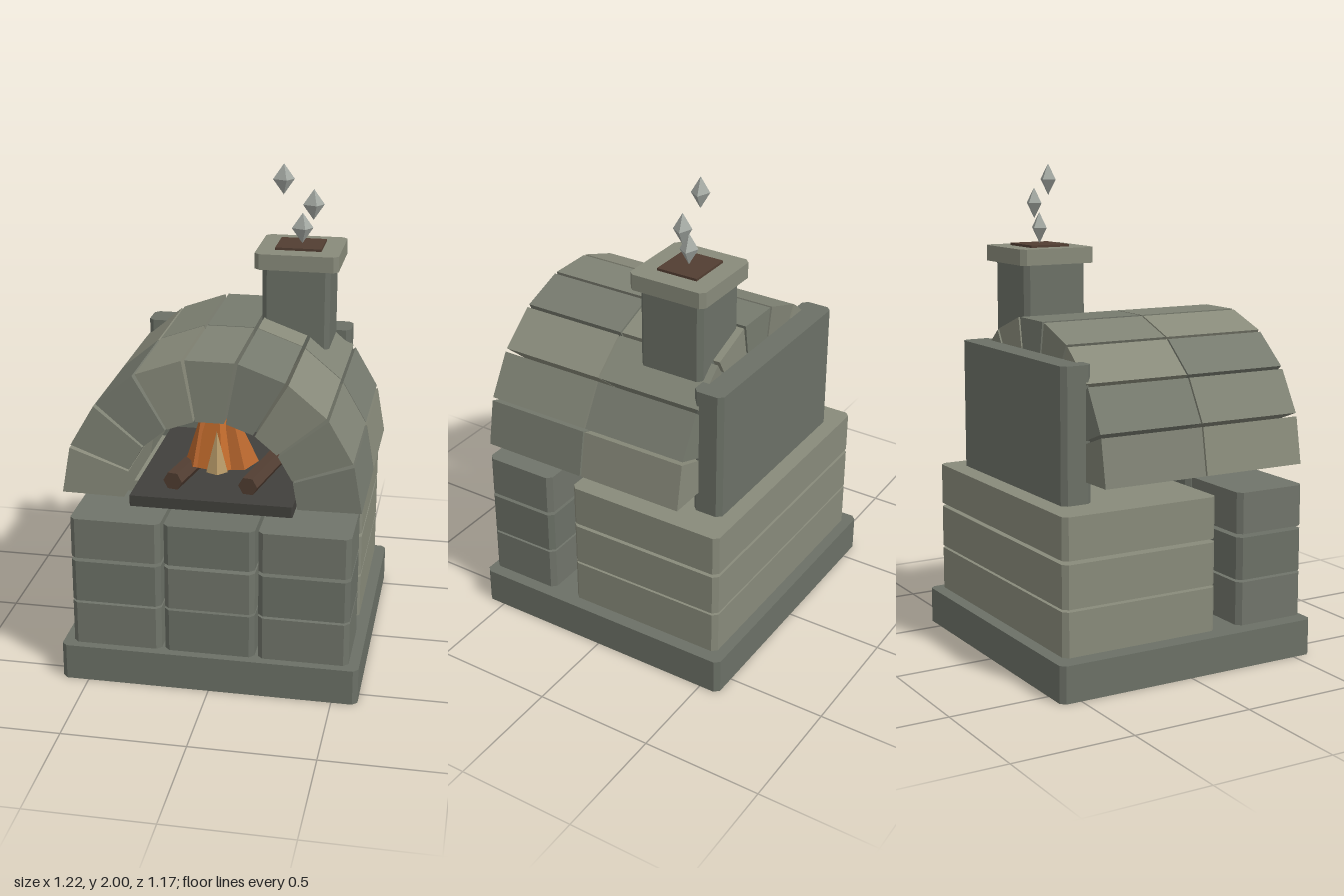
import * as THREE from 'three';

const STONE = 0x6b7066, MID = 0x767a6e, LIGHT = 0x888a7a, BROWN = 0x523e32;

function mesh(name, geometry, color) {
  const m = new THREE.Mesh(geometry, new THREE.MeshStandardMaterial({ color, flatShading: true }));
  m.name = name;
  return m;
}

// Block between given limits, with its vertical edges chamfered by c
function block(name, [x0, x1], [y0, y1], [z0, z1], color, c = 0.02) {
  const w = (x1 - x0) / 2, d = (z1 - z0) / 2;
  const outline = [
    [w - c, -d], [w, -d + c], [w, d - c], [w - c, d],
    [-w + c, d], [-w, d - c], [-w, -d + c], [-w + c, -d],
  ].map(([x, y]) => new THREE.Vector2(x, y));
  const g = new THREE.ExtrudeGeometry(new THREE.Shape(outline), { depth: y1 - y0, bevelEnabled: false });
  g.rotateX(-Math.PI / 2);
  g.translate((x0 + x1) / 2, y0, (z0 + z1) / 2);
  return mesh(name, g, color);
}

// Wedge brick of the vault, spanning angles a0..a1 and depths z0..z1
function vaultBrick(a0, a1, z0, z1, color) {
  const inner = 0.345, outer = 0.595;
  const pts = [[inner, a0], [outer, a0], [outer, a1], [inner, a1]]
    .map(([r, a]) => new THREE.Vector2(r * Math.cos(a), r * Math.sin(a)));
  const g = new THREE.ExtrudeGeometry(new THREE.Shape(pts), { depth: z1 - z0, bevelEnabled: false });
  g.translate(0, 0.8, z0);
  return mesh('vaultBrick', g, color);
}

export function createModel() {
  const model = new THREE.Group();
  model.name = 'stoneOven';

  model.add(block('base', [-0.61, 0.605], [0, 0.15], [-0.585, 0.585], STONE));

  // Three courses: one long rear slab and three front blocks each
  const courses = new THREE.Group();
  courses.name = 'plinth';
  [[0.16, 0.34], [0.35, 0.525], [0.54, 0.71]].forEach((y, row) => {
    courses.add(block('rearSlab', [-0.56, 0.56], y, [-0.545, 0.145], LIGHT));
    [-0.38, 0, 0.38].forEach((x, col) => {
      const color = (row + col) % 2 ? STONE : 0x70746a;
      courses.add(block('frontBlock', [x - 0.183, x + 0.183], y, [0.25, 0.565], color));
    });
  });
  model.add(courses);

  // Vault: two rings of nine wedge bricks with open joints
  const vault = new THREE.Group();
  vault.name = 'vault';
  const step = Math.PI / 9, gap = 0.012;
  [[-0.385, 0.067], [0.074, 0.525]].forEach(([z0, z1], ring) => {
    for (let i = 0; i < 9; i++) {
      const color = [LIGHT, MID, 0x7f8274][(i + ring) % 3];
      vault.add(vaultBrick(i * step + gap, (i + 1) * step - gap, z0, z1, color));
    }
  });
  model.add(vault);

  model.add(block('backWall', [-0.445, 0.44], [0.72, 1.26], [-0.485, -0.355], STONE));
  model.add(block('hearth', [-0.325, 0.325], [0.765, 0.81], [-0.245, 0.52], 0x41403c, 0.003));

  // Chimney with cap and dark flue
  model.add(block('chimney', [0.1, 0.38], [1.26, 1.6], [-0.355, -0.075], STONE));
  model.add(block('chimneyCap', [0.07, 0.415], [1.595, 1.66], [-0.385, -0.05], LIGHT));
  model.add(block('flue', [0.145, 0.335], [1.65, 1.67], [-0.305, -0.13], BROWN, 0.001));

  // Two six-sided logs lying on the hearth
  for (const x of [-0.135, 0.168]) {
    const g = new THREE.CylinderGeometry(0.04, 0.04, 0.38, 6);
    g.rotateY(Math.PI / 6).rotateX(Math.PI / 2);
    const log = mesh('log', g, BROWN);
    log.position.set(x, 0.843, 0.24);
    log.rotation.y = -0.19;
    model.add(log);
  }

  // Flames: pointed low-sided cones [x, z, radius, height, yaw, lean, color]
  const fire = new THREE.Group();
  fire.name = 'fire';
  [
    [-0.02, 0.23, 0.12, 0.34, 0.3, 0.02, 0xc06a2c],
    [-0.09, 0.25, 0.065, 0.23, 0.9, -0.03, 0xb8662e],
    [0.06, 0.24, 0.085, 0.28, 0.5, 0.14, 0xb8662e],
    [-0.01, 0.33, 0.045, 0.17, 0.2, 0, 0xb89a68],
  ].forEach(([x, z, r, h, yaw, lean, color]) => {
    const g = new THREE.ConeGeometry(r, h, 5);
    g.rotateY(yaw).translate(0, h / 2, 0);
    const flame = mesh('flame', g, color);
    flame.position.set(x, 0.86, z);
    flame.rotation.z = lean;
    fire.add(flame);
  });
  model.add(fire);

  // Smoke puffs above the flue
  [[0.165, 1.936], [0.29, 1.835], [0.245, 1.735]].forEach(([x, y]) => {
    const g = new THREE.OctahedronGeometry(1);
    g.rotateY(0.35).scale(0.046, 0.064, 0.035);
    const puff = mesh('smokePuff', g, 0xa5aaa4);
    puff.position.set(x, y, -0.215);
    model.add(puff);
  });

  return model;
}
